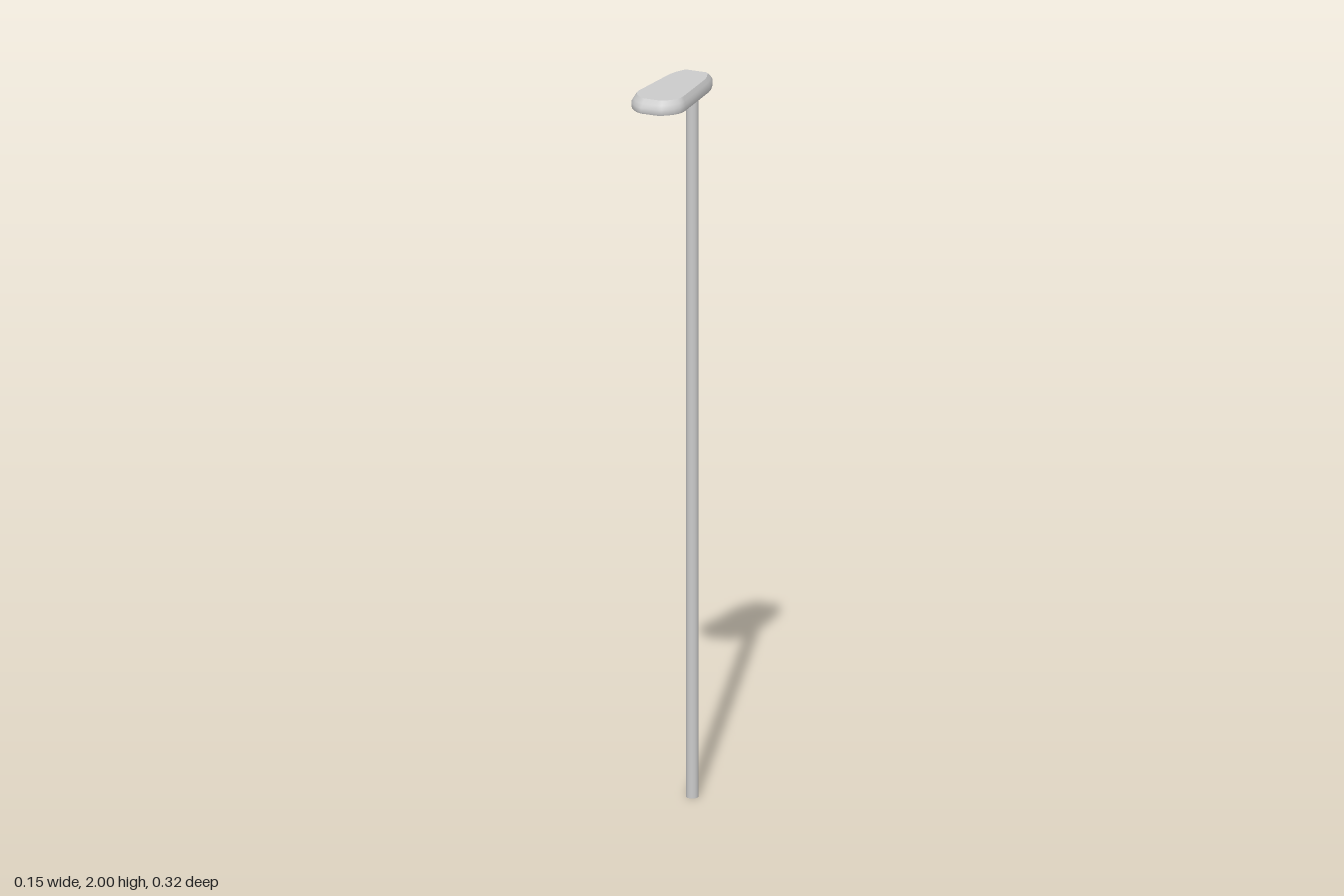
import * as THREE from 'three';

// Half outlines of the lamp head as [x, z], running from back to front
const OUTER = [[0.03, -0.16], [0.038, -0.155], [0.046, -0.14], [0.054, -0.118], [0.06, -0.09],
  [0.0735, 0.085], [0.0745, 0.1], [0.071, 0.115], [0.062, 0.131], [0.05, 0.144], [0.036, 0.155], [0.022, 0.16]];
const TOP = [[0.03, -0.137], [0.034, -0.133], [0.039, -0.122], [0.046, -0.105], [0.052, -0.082],
  [0.064, 0.08], [0.0635, 0.093], [0.06, 0.105], [0.052, 0.118], [0.042, 0.129], [0.03, 0.138], [0.02, 0.14]];

// Closed ring at height y, blended from the outer outline (t = 0) to the top outline (t = 1)
function ring(y, t) {
  const half = OUTER.map(([x, z], i) => new THREE.Vector3(
    THREE.MathUtils.lerp(x, TOP[i][0], t), y, THREE.MathUtils.lerp(z, TOP[i][1], t)));
  const mirrored = half.map((p) => new THREE.Vector3(-p.x, p.y, p.z)).reverse();
  return [...half, ...mirrored];
}

function geometryFrom(points, index) {
  const geometry = new THREE.BufferGeometry().setFromPoints(points);
  geometry.setIndex(index);
  geometry.computeVertexNormals();
  return geometry;
}

// Smooth wall through a stack of rings
function wall(rings) {
  const n = rings[0].length;
  const index = [];
  for (let r = 0; r < rings.length - 1; r++) {
    for (let j = 0; j < n; j++) {
      const a = r * n + j, b = r * n + (j + 1) % n;
      index.push(a, a + n, b, b, a + n, b + n);
    }
  }
  return geometryFrom(rings.flat(), index);
}

// Flat lid over one ring
function cap(points, up) {
  const n = points.length;
  const index = [];
  for (let j = 0; j < n; j++) {
    const k = (j + 1) % n;
    index.push(n, up ? k : j, up ? j : k);
  }
  return geometryFrom([...points, new THREE.Vector3(0, points[0].y, 0)], index);
}

export function createModel() {
  const model = new THREE.Group();
  model.name = 'streetLamp';
  const solid = new THREE.MeshStandardMaterial({ color: 0xcccccc });
  const open = new THREE.MeshStandardMaterial({ color: 0xcccccc, side: THREE.DoubleSide });
  const add = (parent, name, geometry, material) => {
    const mesh = new THREE.Mesh(geometry, material);
    mesh.name = name;
    parent.add(mesh);
    return mesh;
  };

  // Slim hollow pole, open at the foot, set near the back of the head
  const pole = add(model, 'pole', new THREE.CylinderGeometry(0.0165, 0.0165, 1.965, 16, 1, true), open);
  pole.position.set(0, 0.9825, -0.111);

  // Lamp head with rounded shoulder and flat top and underside
  const head = new THREE.Group();
  head.name = 'lampHead';
  model.add(head);
  const rings = [[1.963, 0.1], [1.968, 0], [1.979, 0], [1.989, 0.4], [2, 1]].map(([y, t]) => ring(y, t));
  add(head, 'headShell', wall(rings), solid);
  add(head, 'headTop', cap(rings[rings.length - 1], true), solid);
  add(head, 'headUnderside', cap(rings[0], false), solid);

  return model;
}
